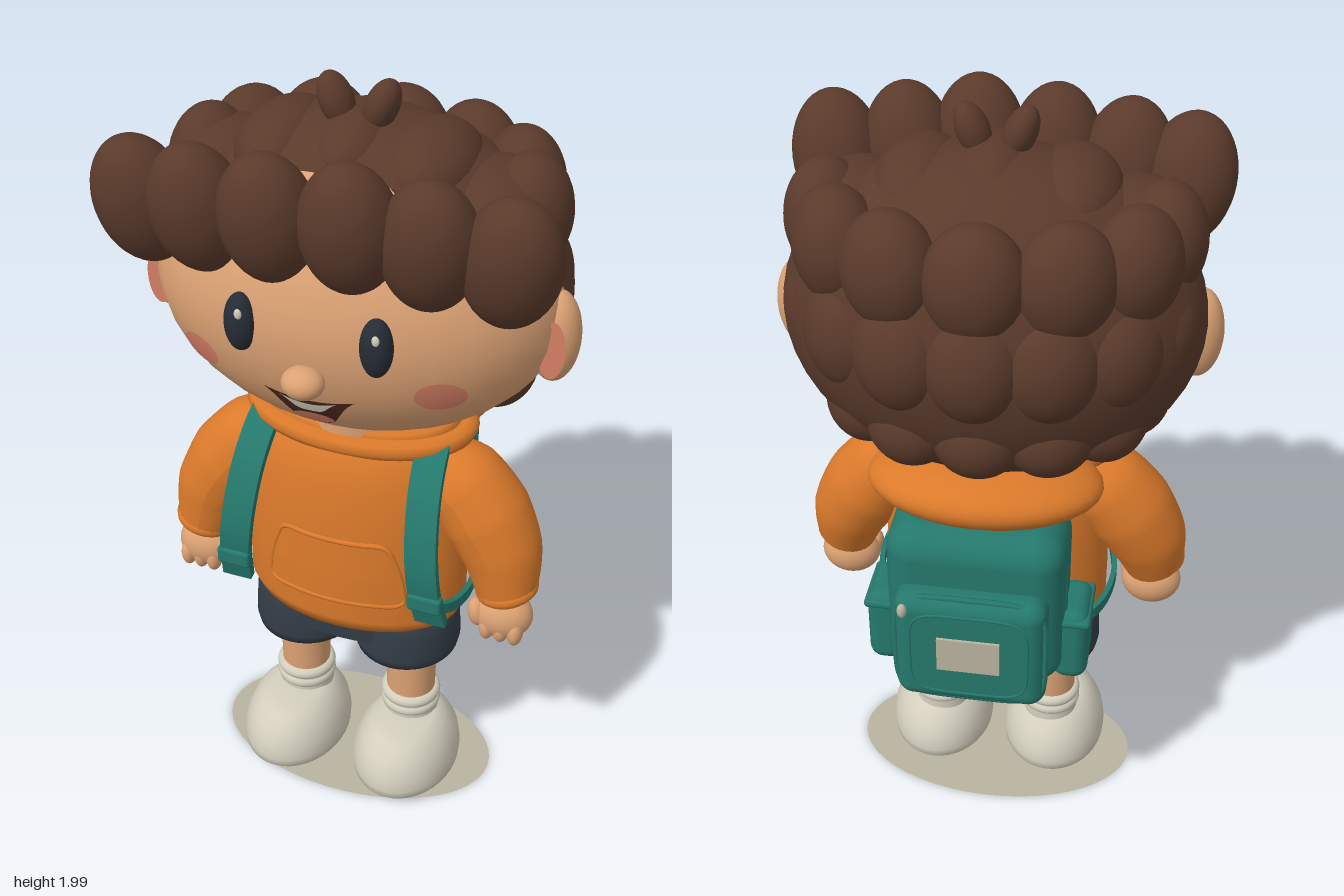
import * as THREE from 'three';
import { RoundedBoxGeometry } from 'three/addons/geometries/RoundedBoxGeometry.js';

const colours = {
  skin: 0xdca274, hair: 0x5a3a2b, hoodie: 0xdb7a2b, pack: 0x25786c, shorts: 0x323c46,
  eye: 0x272d36, cream: 0xd3cebd, blush: 0xd67f66, mouth: 0x4a271c, disc: 0xb9b4a0,
};
const V = (x, y, z) => new THREE.Vector3(x, y, z);
const SIDES = [-1, 1];

// Hoodie body profile: radius in x, height
const TORSO = [[0, .565], [.28, .565], [.297, .6], [.297, .75], [.287, .9], [.268, 1.0], [.24, 1.07], [.19, 1.12], [0, 1.14]];
const TORSO_DEPTH = .62, BODY_Z = .05;

function torsoZ(x, y) {
  let i = 2;
  while (i < TORSO.length - 2 && TORSO[i + 1][1] < y) i++;
  const [r0, y0] = TORSO[i], [r1, y1] = TORSO[i + 1];
  const r = r0 + (r1 - r0) * (y - y0) / (y1 - y0);
  return BODY_Z + TORSO_DEPTH * Math.sqrt(Math.max(0, r * r - x * x));
}

// Head ellipsoid
const HEAD = { x: .5, y: .36, z: .345, cy: 1.5, cz: .03 };
const faceZ = (x, y) => HEAD.cz + HEAD.z * Math.sqrt(Math.max(0, 1 - (x / HEAD.x) ** 2 - ((y - HEAD.cy) / HEAD.y) ** 2));

// Thin sheet laid over a surface; xy maps u, v in -1..1 to the front plane
function patch(surface, xy, lift) {
  const geo = new THREE.PlaneGeometry(2, 2, 16, 16), p = geo.attributes.position;
  for (let i = 0; i < p.count; i++) {
    const [x, y] = xy(p.getX(i), p.getY(i));
    p.setXYZ(i, x, y, surface(x, y) + lift);
  }
  geo.computeVertexNormals();
  return geo;
}
const oval = (cx, cy, rx, ry) => (u, v) =>
  [cx + rx * u * Math.sqrt(1 - v * v / 2), cy + ry * v * Math.sqrt(1 - u * u / 2)];

// Tube whose radius follows a list of values
function taperedTube(points, radii) {
  const n = 24, sides = 24, curve = new THREE.CatmullRomCurve3(points);
  const geo = new THREE.TubeGeometry(curve, n, 1, sides), p = geo.attributes.position, v = V();
  for (let i = 0; i <= n; i++) {
    const t = i / n * (radii.length - 1), k = Math.min(Math.floor(t), radii.length - 2);
    const r = THREE.MathUtils.lerp(radii[k], radii[k + 1], t - k), c = curve.getPointAt(i / n);
    for (let j = 0; j <= sides; j++) {
      const q = i * (sides + 1) + j;
      v.fromBufferAttribute(p, q).sub(c).multiplyScalar(r).add(c);
      p.setXYZ(q, v.x, v.y, v.z);
    }
  }
  geo.computeVertexNormals();
  return geo;
}

// Flat webbing swept along a curve, w gives the direction of its width
function band(points, w, width, thick) {
  const n = 28, curve = new THREE.CatmullRomCurve3(points), pos = [], idx = [];
  for (let i = 0; i <= n; i++) {
    const c = curve.getPointAt(i / n), N = curve.getTangentAt(i / n).cross(w).normalize();
    for (const [a, b] of [[-1, -1], [1, -1], [1, 1], [-1, 1]]) {
      const q = c.clone().addScaledVector(w, a * width / 2).addScaledVector(N, b * thick / 2);
      pos.push(q.x, q.y, q.z);
    }
    if (i < n) for (let j = 0; j < 4; j++) {
      const a = i * 4 + j, b = i * 4 + (j + 1) % 4;
      idx.push(a, b, b + 4, a, b + 4, a + 4);
    }
  }
  const geo = new THREE.BufferGeometry();
  geo.setAttribute('position', new THREE.Float32BufferAttribute(pos, 3));
  geo.setIndex(idx);
  const flat = geo.toNonIndexed();
  flat.computeVertexNormals();
  return flat;
}

const pipe = (points, r) => new THREE.TubeGeometry(new THREE.CatmullRomCurve3(points, true), 64, r, 8, true);
const lathe = pts => new THREE.LatheGeometry(pts.map(p => new THREE.Vector2(...p)), 40);

// Rounded rectangle loop in the xy plane
function roundedLoop(hw, hh, cy, z) {
  return Array.from({ length: 32 }, (_, i) => {
    const a = i / 32 * Math.PI * 2, c = Math.cos(a), s = Math.sin(a);
    return V(hw * Math.sign(c) * Math.abs(c) ** .4, cy + hh * Math.sign(s) * Math.abs(s) ** .4, z);
  });
}

export function createModel() {
  const model = new THREE.Group();
  const mats = {};
  for (const [name, color] of Object.entries(colours)) {
    mats[name] = new THREE.MeshStandardMaterial({ color });
    mats[name].name = name;
  }
  mats.disc.side = THREE.DoubleSide;

  function add(name, geo, mat, pos = [0, 0, 0], scale = [1, 1, 1], rot = [0, 0, 0]) {
    const m = new THREE.Mesh(geo, mats[mat]);
    m.name = name;
    m.position.set(...pos);
    m.scale.set(...scale);
    m.rotation.set(...rot);
    model.add(m);
    return m;
  }
  const ball = new THREE.SphereGeometry(1, 32, 22);
  const blob = (name, mat, pos, scale, rot) => add(name, ball, mat, pos, scale, rot);

  // Ground disc
  add('groundDisc', new THREE.CircleGeometry(1, 48), 'disc', [0, .004, .05], [.39, .23, 1], [-Math.PI / 2, 0, 0]);

  // Head and face
  blob('head', 'skin', [0, HEAD.cy, HEAD.cz], [HEAD.x, HEAD.y, HEAD.z]);
  add('neck', new THREE.CylinderGeometry(.14, .14, .15, 32), 'skin', [0, 1.15, .03]);
  blob('nose', 'skin', [0, 1.42, .385], [.05, .038, .045]);
  for (const s of SIDES) {
    blob('ear', 'skin', [s * .48, 1.455, .05], [.06, .117, .062]);
    add('innerEar', new THREE.CircleGeometry(1, 24), 'blush', [s * .487, 1.45, .112], [.033, .075, 1]);
    blob('eye', 'eye', [s * .16, 1.525, .352], [.038, .072, .036]);
    blob('eyeGlint', 'cream', [s * .16 + .008, 1.56, .381], [.009, .013, .006]);
    add('cheek', patch(faceZ, oval(s * .29, 1.395, .053, .043), .007), 'blush');
  }
  const grin = (w, top, depth) => (u, v) => {
    const up = top + .016 * u * u, low = top - depth * Math.sqrt(1 - .93 * Math.abs(u) ** 3);
    return [u * w * (.8 + .2 * v), THREE.MathUtils.lerp(low, up, (v + 1) / 2)];
  };
  add('mouth', patch(faceZ, grin(.11, 1.356, .092), .012), 'mouth');
  add('teeth', patch(faceZ, grin(.07, 1.348, .026), .017), 'cream');
  add('tongue', patch(faceZ, oval(0, 1.292, .05, .02), .016), 'blush');

  // Hair cap: half shell tipped backwards
  const cap = new THREE.SphereGeometry(1, 48, 20, 0, Math.PI * 2, 0, Math.PI / 2);
  cap.rotateX(-55 * Math.PI / 180);
  cap.scale(.5, .405, .35);
  add('hairCap', cap, 'hair', [0, 1.505, 0]).material.side = THREE.DoubleSide;

  // Fringe curls
  const fringe = [[-.425, 1.74, .27], [-.275, 1.755, .295], [-.1, 1.77, .315], [.085, 1.78, .318], [.255, 1.76, .295], [.425, 1.74, .27]];
  fringe.forEach(([x, y, z]) => blob('fringeCurl', 'hair', [x, y, z], [.112, .16, .1], [.22, 0, -x * .25]));

  // Crown rolls and top tufts
  [[-.34, 1.74, .13], [-.18, 1.81, .11], [0, 1.83, .1], [.17, 1.81, .11], [.34, 1.74, .13]]
    .forEach(([x, y, r]) => blob('crownRoll', 'hair', [x, y, .02], [r, .095, .17], [0, 0, -x]));
  for (const s of SIDES) blob('tuft', 'hair', [s * .053, 1.935, .035], [.038, .066, .045], [0, 0, -s * .4]);

  // Rows of curls round the back and sides
  const rows = [
    { y: 1.72, rx: .385, rz: .262, size: [.118, .14, .1], span: 90, n: 7 },
    { y: 1.53, rx: .395, rz: .285, size: [.118, .14, .1], span: 76, n: 7 },
    { y: 1.31, rx: .33, rz: .235, size: [.11, .105, .1], span: 88, n: 7 },
  ];
  for (const { y, rx, rz, size, span, n } of rows) for (let i = 0; i < n; i++) {
    const a = THREE.MathUtils.degToRad(-span + 2 * span * i / (n - 1));
    blob('backCurl', 'hair', [rx * Math.sin(a), y, -rz * Math.cos(a) - .005], size, [0, -a, 0]);
  }

  // Hoodie
  add('hoodieBody', lathe(TORSO), 'hoodie', [0, 0, BODY_Z], [1, 1, TORSO_DEPTH]);
  blob('hood', 'hoodie', [0, 1.11, -.14], [.29, .088, .195], [.12, 0, 0]);
  const collar = (rx, rz, y) => Array.from({ length: 24 }, (_, i) => {
    const a = i / 24 * Math.PI * 2;
    return V(rx * Math.cos(a), y - .015 * Math.sin(a), .02 + rz * Math.sin(a));
  });
  add('collar', pipe(collar(.275, .145, 1.125), .028), 'hoodie');
  add('collarInner', pipe(collar(.235, .12, 1.145), .026), 'hoodie');

  // Belly pocket with raised seam
  const pouch = (u, v) => [u * (.16 - .023 * v - .012 * v * v + .012), .765 + .095 * v];
  add('bellyPocket', patch(torsoZ, pouch, .009), 'hoodie');
  const seam = [];
  for (const [u0, v0, u1, v1] of [[-1, -1, 1, -1], [1, -1, 1, 1], [1, 1, -1, 1], [-1, 1, -1, -1]])
    for (let k = 0; k < 8; k++) {
      const t = (k + .5) / 8, [x, y] = pouch(u0 + (u1 - u0) * t, v0 + (v1 - v0) * t);
      seam.push(V(x, y, torsoZ(x, y) + .006));
    }
  add('pocketSeam', pipe(seam, .007), 'hoodie');

  for (const s of SIDES) {
    // Sleeve, cuff and hand
    add('sleeve', taperedTube([V(s * .18, 1.04, .05), V(s * .28, .99, .05), V(s * .385, .84, .065), V(s * .42, .715, .088)],
      [.07, .108, .115, .104, .08]), 'hoodie');
    add('cuff', new THREE.TorusGeometry(.06, .022, 12, 28), 'hoodie', [s * .42, .718, .088], [1, 1, 1], [Math.PI / 2, s * .25, 0]);
    blob('cuffFill', 'hoodie', [s * .419, .72, .088], [.065, .02, .065]);
    blob('hand', 'skin', [s * .415, .64, .1], [.08, .07, .062]);
    blob('thumb', 'skin', [s * .355, .645, .125], [.024, .042, .028], [0, 0, s * .2]);
    for (let i = 0; i < 3; i++) blob('finger', 'skin', [s * (.385 + i * .037), .612, .132], [.021, .04, .028]);

    // Leg, sock and shoe
    add('leg', new THREE.CylinderGeometry(.07, .066, .3, 32), 'skin', [s * .157, .36, .05]);
    add('sock', new THREE.CylinderGeometry(.074, .077, .09, 32), 'cream', [s * .157, .2, .05]);
    for (const y of [.212, .243]) add('sockRoll', new THREE.TorusGeometry(.064, .018, 12, 32), 'cream', [s * .157, y, .05], [1, 1, 1], [Math.PI / 2, 0, 0]);
    add('shoe', lathe([[0, .025], [.13, .025], [.143, .04], [.145, .065], [.139, .105], [.122, .145], [.097, .175], [.07, .188], [0, .19]]),
      'cream', [s * .165, 0, .1], [1, 1, 1.32]);

    // Shorts leg
    add('shortsLeg', lathe([[0, .44], [.1, .44], [.115, .43], [.138, .435], [.143, .46], [.138, .54], [.12, .6], [0, .61]]),
      'shorts', [s * .143, 0, .05], [1, 1, 1.05]);

    // Backpack straps and buckles
    add('shoulderStrap', band([V(s * .2, 1.02, -.12), V(s * .205, 1.13, -.04), V(s * .218, 1.12, .1), V(s * .228, 1.04, .195),
      V(s * .24, .92, .25), V(s * .252, .8, .262), V(s * .265, .67, .23)], V(1, 0, 0), .08, .022), 'pack');
    add('lowerStrap', band([V(s * .265, .72, .24), V(s * .3, .685, .17), V(s * .315, .665, .06), V(s * .285, .655, -.06), V(s * .21, .65, -.14)],
      V(0, 1, 0), .032, .014), 'pack');
    add('buckle', new RoundedBoxGeometry(.09, .05, .03, 3, .01), 'pack', [s * .257, .755, .262]);
    add('sidePocket', new RoundedBoxGeometry(.09, .22, .16, 4, .035), 'pack', [s * .235, .72, -.22]);
    add('sidePocketHem', new RoundedBoxGeometry(.098, .022, .165, 3, .01), 'pack', [s * .235, .8, -.22]);
  }

  // Shorts hips
  add('shortsHips', new THREE.CylinderGeometry(.27, .262, .12, 40), 'shorts', [0, .56, BODY_Z], [1, 1, .56]);

  // Backpack
  add('backpack', new RoundedBoxGeometry(.44, .46, .25, 6, .075), 'pack', [0, .84, -.227]);
  add('backpackZip', pipe(roundedLoop(.216, .224, .84, -.27), .009), 'pack');
  add('frontPocket', new RoundedBoxGeometry(.375, .33, .11, 5, .045), 'pack', [0, .765, -.357]);
  add('frontPocketPiping', pipe(roundedLoop(.185, .16, .765, -.385), .008), 'pack');
  add('frontPocketFlap', pipe(roundedLoop(.145, .125, .765, -.411), .004), 'pack');
  add('patchLabel', new THREE.BoxGeometry(.155, .1, .008), 'disc', [0, .77, -.415]);
  blob('zipPull', 'disc', [.16, .895, -.412], [.012, .02, .012]);
  add('carryLoop', new THREE.TorusGeometry(.05, .012, 10, 24, Math.PI), 'pack', [0, 1.055, -.2]);

  return model;
}
